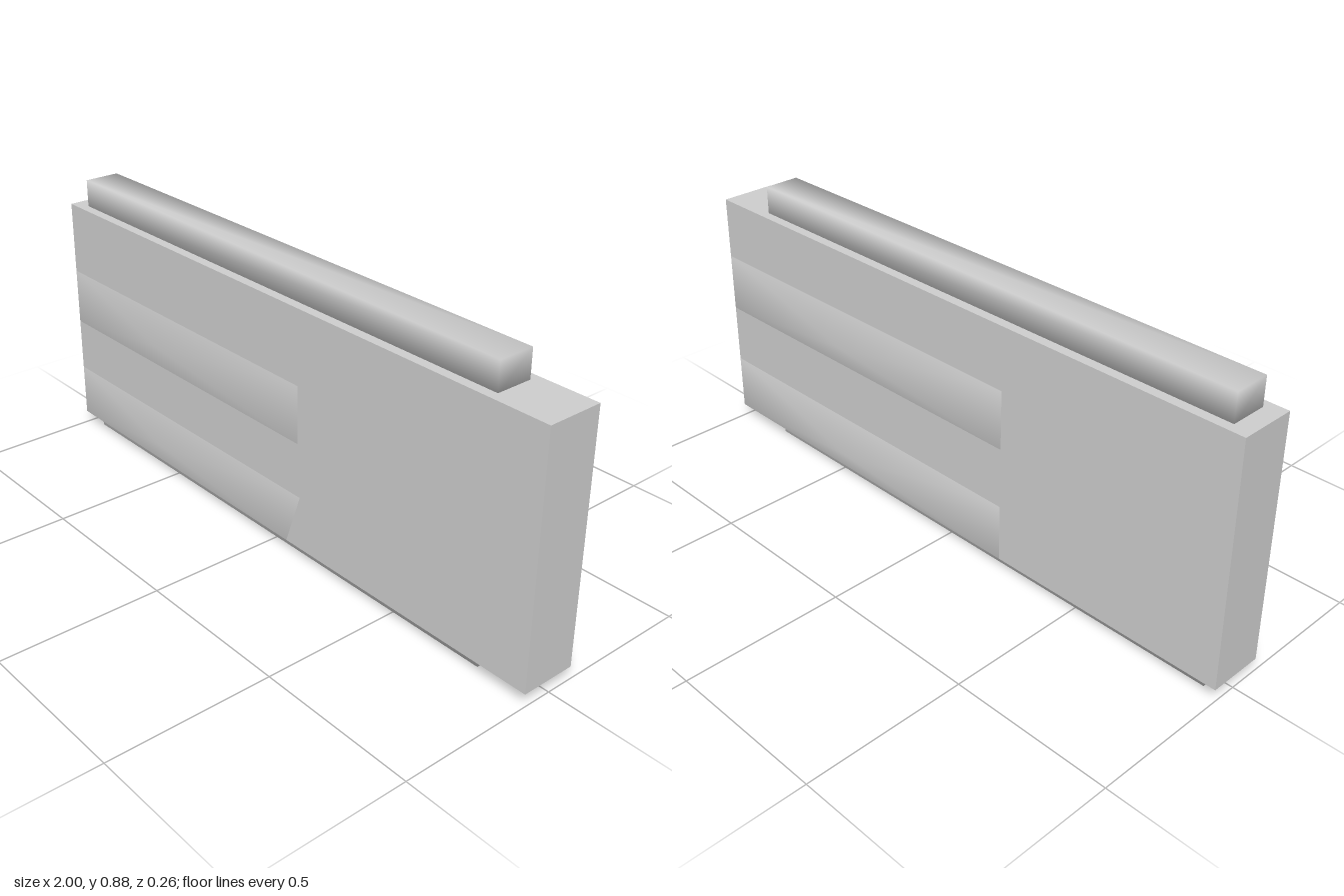
import * as THREE from 'three';
import { mergeVertices } from 'three/addons/utils/BufferGeometryUtils.js';

export function createModel() {
  const model = new THREE.Group();
  const grey = new THREE.MeshStandardMaterial({ name: 'light grey', color: 0xcccccc });

  function add(name, geometry) {
    const mesh = new THREE.Mesh(geometry, grey);
    mesh.name = name;
    model.add(mesh);
  }

  // Box given by its extents; soft boxes share normals across their edges
  function box(x0, x1, y0, y1, z0, z1, soft = false) {
    let g = new THREE.BoxGeometry(x1 - x0, y1 - y0, z1 - z0);
    if (soft) {
      g.deleteAttribute('normal');
      g.deleteAttribute('uv');
      g = mergeVertices(g);
      g.computeVertexNormals();
    }
    return g.translate((x0 + x1) / 2, (y0 + y1) / 2, (z0 + z1) / 2);
  }

  // Shallow four-sided bulge: base corners counter-clockwise seen from outside, then the apex
  function bulge(corners, baseZ, apex) {
    const points = [...corners.map(([x, y]) => [x, y, baseZ]), apex];
    const g = new THREE.BufferGeometry();
    g.setAttribute('position', new THREE.Float32BufferAttribute(points.flat(), 3));
    g.setIndex([0, 1, 4, 1, 2, 4, 2, 3, 4, 3, 0, 4]);
    g.computeVertexNormals();
    return g;
  }

  // Main slab
  add('slab', box(-1, 1, 0.04, 0.79, -0.08, 0.093));

  // Narrow rails along the top and bottom edges
  add('topRail', box(-0.945, 0.815, 0.785, 0.876, -0.05, 0.063, true));
  add('bottomRail', box(-0.945, 0.815, 0, 0.12, -0.05, 0.063, true));

  // Front bulges
  const front = 0.093;
  add('frontUpperBulge', bulge(
    [[-1, 0.38], [0.13, 0.38], [0.13, 0.56], [-1, 0.56]], front, [-0.5, 0.468, 0.13]));
  add('frontLowerBulge', bulge(
    [[-1, 0.04], [0.08, 0.04], [0.14, 0.21], [-1, 0.21]], front, [-0.5, 0.122, 0.128]));

  // Back bulges
  const back = -0.08;
  add('backUpperBulge', bulge(
    [[1, 0.41], [-0.23, 0.41], [-0.23, 0.595], [1, 0.595]], back, [0.4, 0.505, -0.13]));
  add('backLowerBulge', bulge(
    [[1, 0.04], [-0.23, 0.04], [-0.23, 0.22], [1, 0.22]], back, [0.4, 0.13, -0.13]));

  return model;
}
